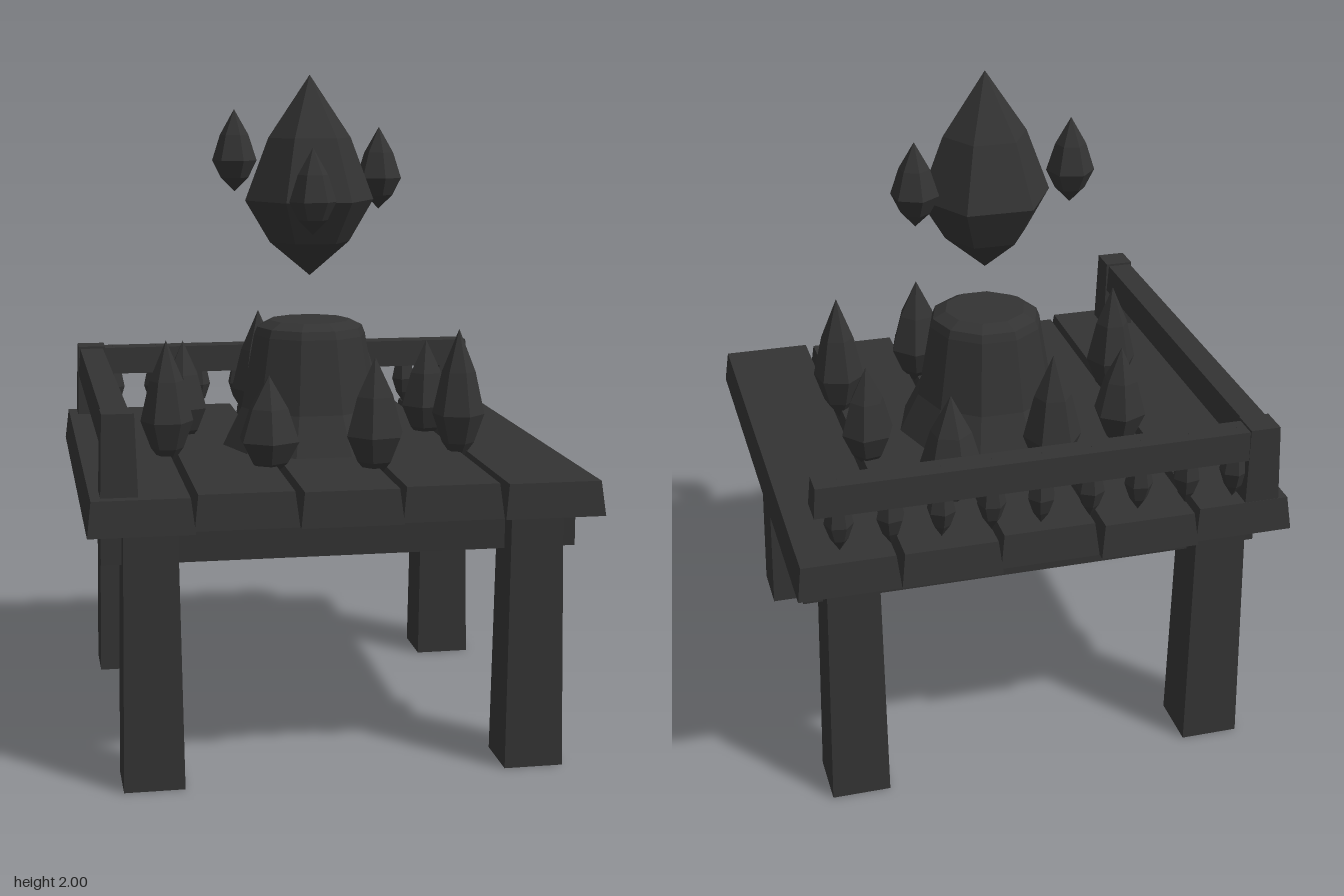
import * as THREE from 'three';

const stone = new THREE.MeshStandardMaterial({ color: 0x333333, flatShading: true });

function add(group, geometry, name, x, y, z) {
  const mesh = new THREE.Mesh(geometry, stone);
  mesh.name = name;
  mesh.position.set(x, y, z);
  group.add(mesh);
  return mesh;
}

// Box spanning the given bounds, with its top face drawn in by inset
function block(group, name, [x0, x1], [y0, y1], [z0, z1], inset = 0) {
  const geo = new THREE.BoxGeometry(x1 - x0, y1 - y0, z1 - z0);
  const p = geo.attributes.position;
  for (let i = 0; i < p.count; i++) {
    if (p.getY(i) > 0) {
      p.setX(i, p.getX(i) - Math.sign(p.getX(i)) * inset);
      p.setZ(i, p.getZ(i) - Math.sign(p.getZ(i)) * inset);
    }
  }
  geo.computeVertexNormals();
  return add(group, geo, name, (x0 + x1) / 2, (y0 + y1) / 2, (z0 + z1) / 2);
}

// Six-sided pointed crystal from y = bottom to y = top
const crystalProfile = [[0, 0], [0.62, 0.17], [1, 0.38], [0.64, 0.69], [0, 1]];
function crystal(group, name, x, z, bottom, top, radius, turn) {
  const pts = crystalProfile.map(([r, t]) => new THREE.Vector2(r * radius, t * (top - bottom)));
  const mesh = add(group, new THREE.LatheGeometry(pts, 6), name, x, bottom, z);
  mesh.rotation.y = turn;
  return mesh;
}

export function createModel() {
  const model = new THREE.Group();
  model.name = 'crystalTable';

  // Five uneven planks: x range, z range
  const planks = [
    [-0.735, -0.44, -0.72, 0.735],
    [-0.44, -0.147, -0.738, 0.7],
    [-0.147, 0.145, -0.715, 0.718],
    [0.145, 0.437, -0.74, 0.7],
    [0.437, 0.73, -0.738, 0.715],
  ];
  for (const [x0, x1, z0, z1] of planks) {
    block(model, 'plank', [x0, x1], [0.765, 0.865], [z0, z1], 0.012);
  }

  // Legs and cross beams
  for (const s of [-1, 1]) {
    for (const t of [-1, 1]) {
      const x = s * 0.555, z = t * 0.553;
      block(model, 'leg', [x - 0.087, x + 0.087], [0, 0.77], [z - 0.087, z + 0.087], 0.011);
    }
    block(model, 'beam', [-0.69, 0.69], [0.643, 0.767], [s * 0.488 - 0.073, s * 0.488 + 0.073]);
  }

  // Railing along the back and one side
  const railing = new THREE.Group();
  railing.name = 'railing';
  model.add(railing);
  for (const z of [-0.655, 0.636]) {
    block(railing, 'railPost', [-0.695, -0.592], [0.86, 1.095], [z - 0.052, z + 0.052], 0.007);
  }
  block(railing, 'backRail', [-0.68, 0.67], [1.0, 1.088], [-0.702, -0.612], 0.007);
  block(railing, 'sideRail', [-0.69, -0.6], [1.0, 1.088], [-0.64, 0.62], 0.007);

  // Small crystals under the back rail
  for (let i = 0; i < 9; i++) {
    crystal(railing, 'railCrystal', -0.57 + i * 0.1456, -0.657, 0.865, 1.092, 0.042, i * 0.7);
  }

  // Ten-sided pedestal with a bevelled top
  const pedestal = [[0, 0], [0.275, 0], [0.215, 0.12], [0.175, 0.345], [0.165, 0.37], [0.125, 0.39], [0, 0.392]]
    .map(([r, y]) => new THREE.Vector2(r, y));
  add(model, new THREE.LatheGeometry(pedestal, 10, Math.PI / 10), 'pedestal', 0, 0.863, 0);

  // Crystals growing from the planks: x, z, top, radius
  const grown = [
    [-0.11, -0.36, 1.24, 0.088], [0.22, -0.44, 1.19, 0.095],
    [-0.375, -0.21, 1.165, 0.082], [0.405, -0.135, 1.16, 0.082],
    [-0.46, 0.13, 1.215, 0.08], [0.425, 0.21, 1.24, 0.08],
    [-0.175, 0.315, 1.13, 0.096], [0.125, 0.4, 1.19, 0.09],
  ];
  grown.forEach(([x, z, top, r], i) => {
    crystal(model, 'grownCrystal', x, z, 0.82, top, r, 0.4 + i * 0.8);
  });

  // Floating main crystal and its three satellites
  crystal(model, 'mainCrystal', 0, 0, 1.39, 2, 0.2, Math.PI / 6);
  crystal(model, 'satelliteCrystal', -0.21, -0.17, 1.64, 1.895, 0.07, 0.3);
  crystal(model, 'satelliteCrystal', 0.24, -0.113, 1.585, 1.84, 0.072, 0.1);
  crystal(model, 'satelliteCrystal', -0.035, 0.26, 1.535, 1.79, 0.07, 0.5);

  return model;
}
